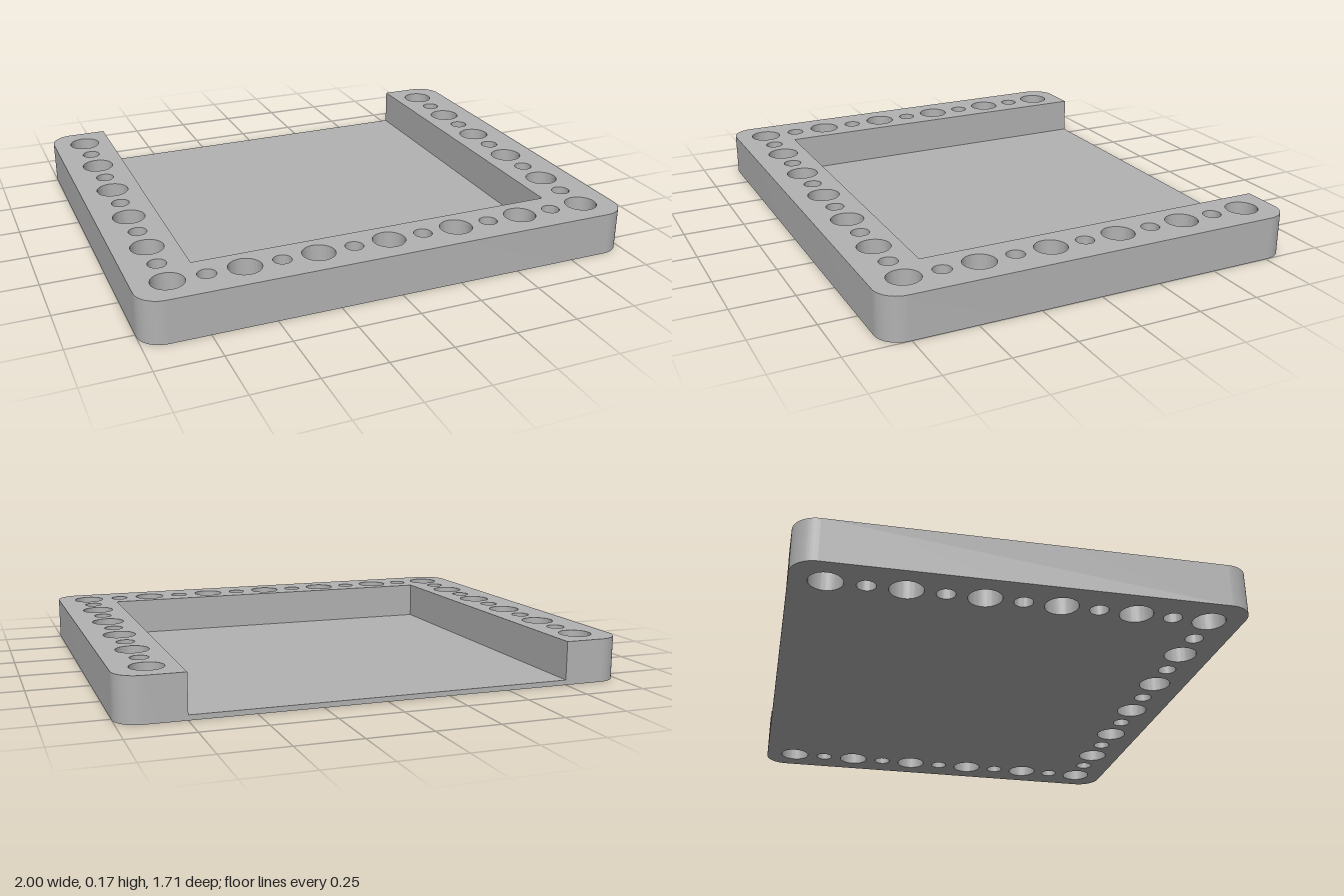
import * as THREE from 'three';
import { toCreasedNormals } from 'three/addons/utils/BufferGeometryUtils.js';

const HALF_W = 1, HALF_D = 0.853, HEIGHT = 0.173, CORNER = 0.095;
const INNER_X = 0.75, INNER_FRONT = 0.615, FLOOR = 0.02;
const PITCH = 0.1442, BIG = 0.064, SMALL = 0.036;

// Extrude a plan shape (shape y = -z) upwards from y = 0
function slab(shape, height) {
  const geo = new THREE.ExtrudeGeometry(shape, { depth: height, bevelEnabled: false, curveSegments: 24 });
  geo.rotateX(-Math.PI / 2);
  return toCreasedNormals(geo, 0.6);
}

export function createModel() {
  const group = new THREE.Group();
  const grey = new THREE.MeshStandardMaterial({ color: 0xb2b2b2 });
  grey.name = 'grey';

  // U-shaped rim, open at the back, with rounded outer corners
  const w = HALF_W, d = HALF_D, r = CORNER;
  const rim = new THREE.Shape();
  rim.moveTo(-w + r, -d);
  rim.lineTo(w - r, -d);
  rim.absarc(w - r, -d + r, r, -Math.PI / 2, 0, false);
  rim.lineTo(w, d - r);
  rim.absarc(w - r, d - r, r, 0, Math.PI / 2, false);
  rim.lineTo(INNER_X, d);
  rim.lineTo(INNER_X, -INNER_FRONT);
  rim.lineTo(-INNER_X, -INNER_FRONT);
  rim.lineTo(-INNER_X, d);
  rim.lineTo(-w + r, d);
  rim.absarc(-w + r, d - r, r, Math.PI / 2, Math.PI, false);
  rim.lineTo(-w, -d + r);
  rim.absarc(-w + r, -d + r, r, Math.PI, Math.PI * 1.5, false);

  // Through holes, alternating large and small
  const addHole = (i, j) => {
    const radius = (i + j) % 2 === 0 ? SMALL : BIG;
    const hole = new THREE.Path();
    hole.absarc(i * PITCH, j * PITCH, radius, 0, Math.PI * 2, true);
    rim.holes.push(hole);
  };
  for (let i = -6; i <= 6; i++) addHole(i, -5);
  for (let j = -4; j <= 5; j++) {
    addHole(-6, j);
    addHole(6, j);
  }
  const rimMesh = new THREE.Mesh(slab(rim, HEIGHT), grey);
  rimMesh.name = 'perforatedRim';
  group.add(rimMesh);

  // Thin floor panel between the rim arms
  const depth = HALF_D + INNER_FRONT;
  const floor = new THREE.Mesh(new THREE.BoxGeometry(INNER_X * 2, FLOOR, depth), grey);
  floor.name = 'floorPanel';
  floor.position.set(0, FLOOR / 2, (INNER_FRONT - HALF_D) / 2);
  group.add(floor);

  return group;
}
